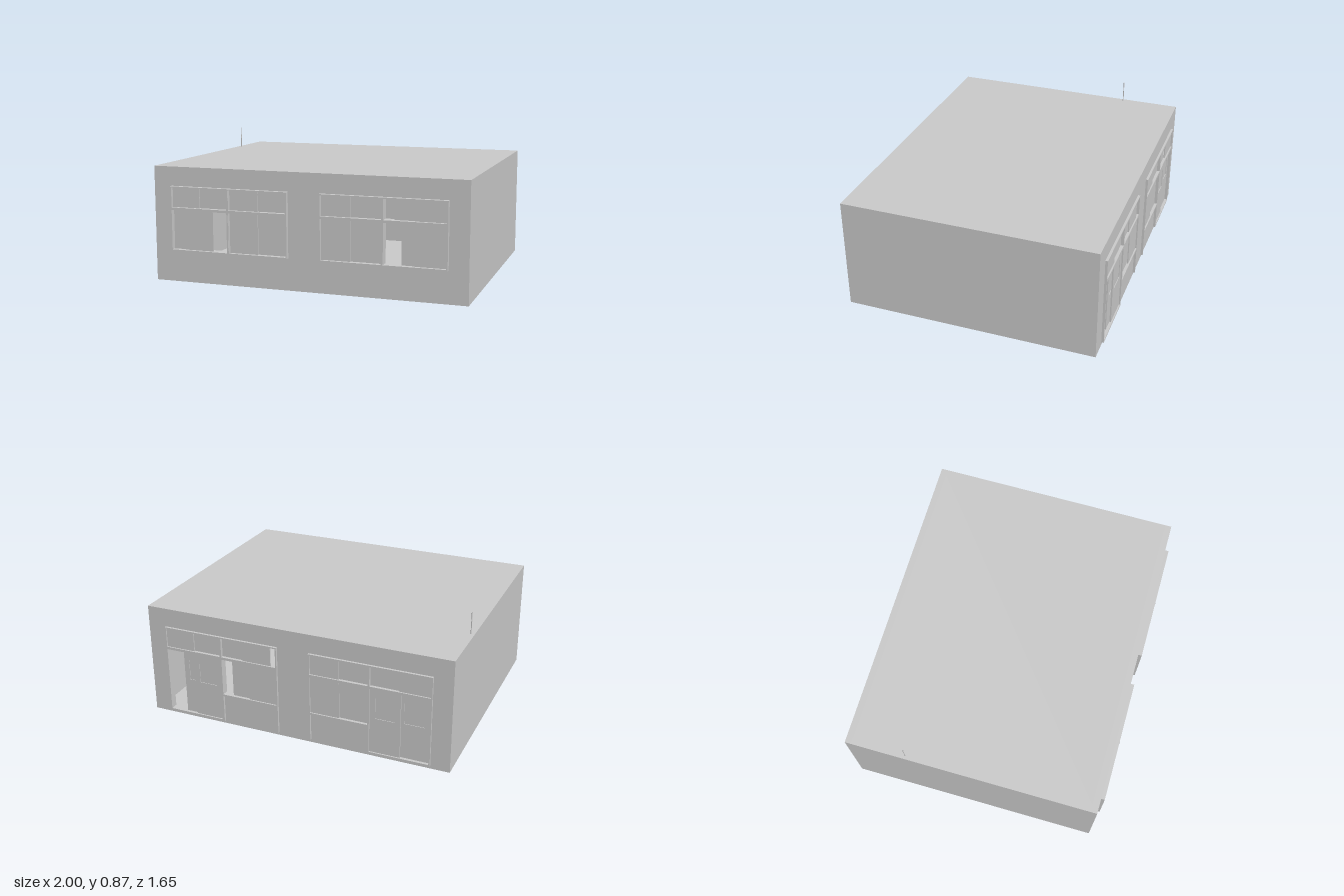
import * as THREE from 'three';

const grey = new THREE.MeshStandardMaterial({ color: 0xcccccc, flatShading: true });
const H = 0.725, T = 0.04, FRONT = 0.797, BACK = -0.81;

// Box given by its limits on each axis
function box(parent, name, x0, x1, y0, y1, z0, z1) {
  const m = new THREE.Mesh(new THREE.BoxGeometry(x1 - x0, y1 - y0, z1 - z0), grey);
  m.position.set((x0 + x1) / 2, (y0 + y1) / 2, (z0 + z1) / 2);
  m.name = name;
  parent.add(m);
}

const path = (pts, Type) => new Type(pts.map(([x, y]) => new THREE.Vector2(x, y)));
const rect = (x0, x1, y0, y1) => [[x0, y0], [x1, y0], [x1, y1], [x0, y1]];

// Flat panel with holes, its outer face at z = front
function panel(parent, name, outline, holes, front, depth) {
  const shape = path(outline, THREE.Shape);
  shape.holes = holes.map((h) => path(h, THREE.Path));
  const m = new THREE.Mesh(new THREE.ExtrudeGeometry(shape, { depth, bevelEnabled: false }), grey);
  m.position.z = front - depth;
  m.name = name;
  parent.add(m);
}

// Sliding panes: [x0, x1, track], track 0 outside and 1 inside
function panes(parent, y0, y1, list) {
  for (const [x0, x1, track] of list) {
    const z = track ? -0.004 : 0.006;
    box(parent, 'slidingPane', x0, x1, y0, y1, z - 0.007, z);
  }
}

// Door leaves, each with a recessed light
function doorLeaves(parent, list) {
  for (const [x0, x1, track] of list) {
    const z = track ? -0.004 : 0.006, a = x0 + 0.035, b = x1 - 0.035;
    panel(parent, 'doorLeaf', rect(x0, x1, 0.03, 0.452), [rect(a, b, 0.26, 0.395)], z, 0.009);
    box(parent, 'doorLight', a, b, 0.26, 0.395, z - 0.007, z - 0.004);
  }
}

function createFrontWall() {
  const g = new THREE.Group();
  g.name = 'frontFacade';
  const units = [[-0.88, -0.105], [0.1, 0.88]];
  panel(g, 'frontWall', rect(-1, 1, 0, H), units.map(([a, b]) => rect(a, b, 0.2, 0.605)), 0, T);
  for (const [a, b] of units) {
    const mid = (a + b) / 2;
    panel(g, 'windowFrame', rect(a, b, 0.2, 0.605),
      [rect(a + 0.008, mid - 0.006, 0.208, 0.457), rect(mid + 0.006, b - 0.008, 0.208, 0.457),
        rect(a + 0.008, mid - 0.006, 0.473, 0.597), rect(mid + 0.006, b - 0.008, 0.473, 0.597)],
      0.027, 0.06);
    box(g, 'mullionCap', mid - 0.004, mid + 0.004, 0.208, 0.597, 0.02, 0.029);
  }
  panes(g, 0.473, 0.597, [
    [-0.872, -0.69, 0], [-0.70, -0.498, 1], [-0.486, -0.30, 0], [-0.31, -0.113, 1],
    [0.108, 0.29, 0], [0.28, 0.484, 1], [0.555, 0.74, 1], [0.68, 0.872, 0]]);
  panes(g, 0.208, 0.457, [
    [-0.872, -0.68, 1], [-0.79, -0.60, 0], [-0.486, -0.30, 0], [-0.31, -0.113, 1],
    [0.108, 0.29, 0], [0.28, 0.484, 1], [0.60, 0.79, 1], [0.68, 0.872, 0]]);
  g.position.z = FRONT;
  return g;
}

// Built facing +z, then turned to face the rear
function createBackWall() {
  const g = new THREE.Group();
  g.name = 'backFacade';
  // L-shaped openings: a full-height door bay beside a window bay
  const opening = (s) => [[s * 0.88, 0.02], [s * 0.485, 0.02], [s * 0.485, 0.2],
    [s * 0.105, 0.2], [s * 0.105, 0.605], [s * 0.88, 0.605]];
  panel(g, 'backWall', rect(-1, 1, 0, H), [-1, 1].map(opening), 0, T);
  for (const s of [-1, 1]) {
    const bar = (name, a, b, y0, y1) =>
      box(g, name, Math.min(s * a, s * b), Math.max(s * a, s * b), y0, y1, -0.033, 0.015);
    bar('outerJamb', 0.872, 0.88, 0.02, 0.605);
    bar('middleJamb', 0.484, 0.496, 0.02, 0.597);
    bar('headRail', 0.105, 0.872, 0.597, 0.605);
    bar('transom', 0.113, 0.484, 0.455, 0.471);
    bar('transom', 0.496, 0.872, 0.455, 0.471);
    bar('windowSill', 0.113, 0.484, 0.2, 0.212);
    bar('doorSill', 0.496, 0.872, 0.02, 0.03);
    bar('innerJamb', 0.105, 0.113, 0.2, 0.597);
    const xa = s * 0.105, xb = s * 0.113;
    box(g, 'innerJambFoot', Math.min(xa, xb), Math.max(xa, xb), 0.02, 0.2, -0.005, 0.015);
  }
  // Upper lights
  panes(g, 0.471, 0.597, [
    [-0.872, -0.68, 0], [-0.69, -0.496, 1], [-0.484, -0.30, 1], [-0.34, -0.15, 0],
    [0.113, 0.30, 0], [0.29, 0.484, 1], [0.496, 0.685, 1], [0.68, 0.872, 0]]);
  // Lower windows
  panes(g, 0.212, 0.455, [
    [-0.42, -0.24, 1], [-0.30, -0.113, 0], [0.113, 0.30, 0], [0.29, 0.484, 1]]);
  // Doors, one of them slid partly open
  doorLeaves(g, [[-0.765, -0.57, 1], [-0.685, -0.496, 0], [0.496, 0.69, 0], [0.675, 0.872, 1]]);
  g.rotation.y = Math.PI;
  g.position.z = BACK;
  return g;
}

export function createModel() {
  const model = new THREE.Group();
  model.name = 'building';
  model.add(createFrontWall(), createBackWall());

  // Hollow shell between the two facades
  const z0 = BACK + T, z1 = FRONT - T;
  box(model, 'rightWall', -1, -1 + T, 0, H, z0, z1);
  box(model, 'leftWall', 1 - T, 1, 0, H, z0, z1);
  box(model, 'floor', -1 + T, 1 - T, 0, 0.02, z0, z1);
  box(model, 'roof', -1 + T, 1 - T, H - 0.03, H, z0, z1);
  box(model, 'partition', -0.02, 0.02, 0.02, H - 0.03, z0, z1);

  // Roof mast
  const mast = new THREE.Mesh(new THREE.CylinderGeometry(0.003, 0.003, 0.14, 8), grey);
  mast.name = 'roofMast';
  mast.position.set(-0.977, H + 0.07, -0.427);
  model.add(mast);
  return model;
}
